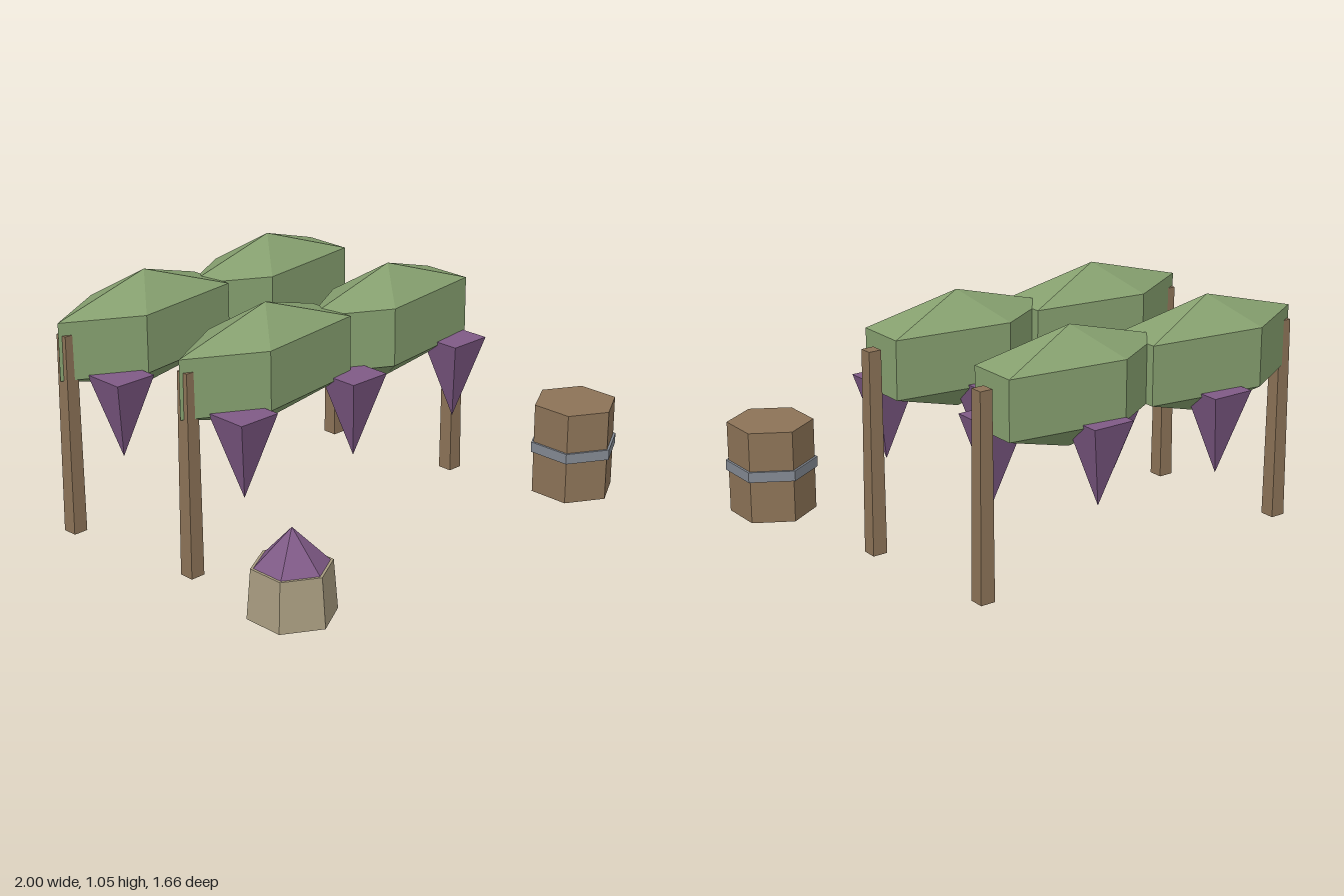
import * as THREE from 'three';

const mat = (name, color) => {
  const m = new THREE.MeshStandardMaterial({ color, flatShading: true });
  m.name = name;
  return m;
};

export function createModel() {
  const leaf = mat('leaf green', 0x86a06f);
  const wood = mat('wood brown', 0x8c7357);
  const grape = mat('grape purple', 0x7f5a86);
  const wicker = mat('wicker beige', 0xa89c80);
  const iron = mat('iron grey', 0x838992);

  const model = new THREE.Group();
  model.name = 'vineyard';

  const add = (parent, name, geometry, material, x, y, z) => {
    const mesh = new THREE.Mesh(geometry, material);
    mesh.name = name;
    mesh.position.set(x, y, z);
    parent.add(mesh);
    return mesh;
  };
  const group = (name, x, z) => {
    const g = new THREE.Group();
    g.name = name;
    g.position.set(x, 0, z);
    model.add(g);
    return g;
  };

  // Shared shapes: four-sided tapered post, stretched low-poly bush, inverted square pyramid
  const postGeo = new THREE.CylinderGeometry(0.028 * Math.SQRT2, 0.033 * Math.SQRT2, 0.875, 4).rotateY(Math.PI / 4);
  const bushGeo = new THREE.SphereGeometry(1, 5, 3).scale(0.527, 0.25, 0.218);
  const bunchGeo = new THREE.ConeGeometry(0.096 * Math.SQRT2, 0.36, 4).rotateY(Math.PI / 4).rotateX(Math.PI);

  // Two trellis rows, the rear one shifted a little sideways
  for (const [name, x, z] of [['frontVineRow', -0.079, 0.054], ['rearVineRow', -0.152, -0.602]]) {
    const row = group(name, x, z);
    for (const side of [-1, 1]) {
      add(row, 'post', postGeo, wood, side * 0.765, 0.4375, 0);
      add(row, 'foliage', bushGeo, leaf, side * 0.35, 0.805, 0);
    }
    // Grape bunches alternate between the front and the back of the row
    for (let i = 0; i < 5; i++) {
      add(row, 'grapeBunch', bunchGeo, grape, (i - 2) * 0.305, 0.515, i % 2 ? -0.132 : 0.146);
    }
  }

  // Basket heaped with grapes
  const basket = group('basket', -0.844, 0.632);
  add(basket, 'basketBody', new THREE.CylinderGeometry(0.163, 0.18, 0.21, 6), wicker, 0, 0.145, 0);
  add(basket, 'grapeHeap', new THREE.ConeGeometry(0.156, 0.16, 6), grape, 0, 0.325, 0);

  // Barrel with an iron hoop
  const barrel = group('barrel', 0.831, 0.635);
  add(barrel, 'barrelBody', new THREE.CylinderGeometry(0.182, 0.182, 0.4, 6), wood, 0, 0.24, 0);
  add(barrel, 'barrelHoop', new THREE.CylinderGeometry(0.193, 0.193, 0.045, 6), iron, 0, 0.248, 0);

  return model;
}
